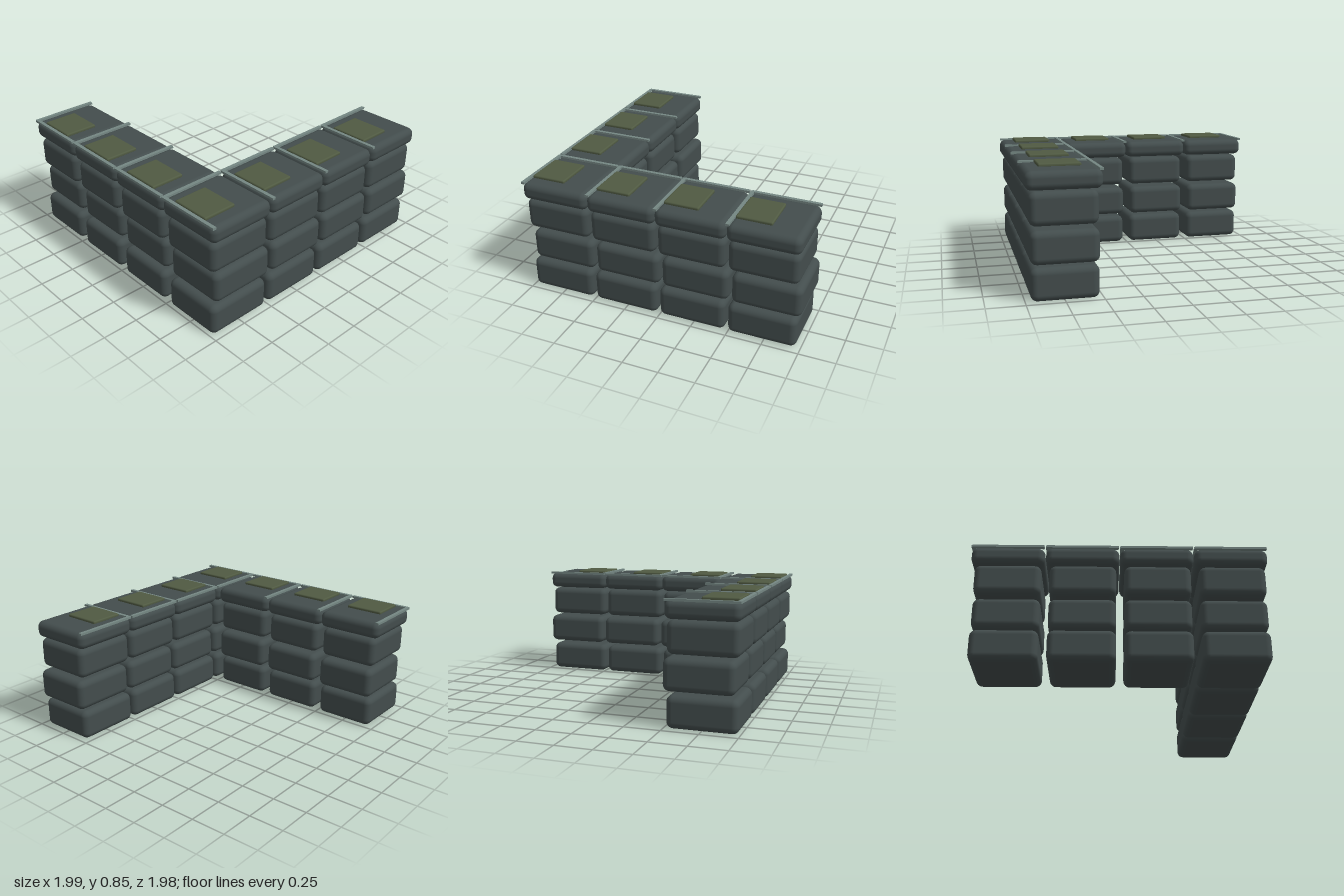
import * as THREE from 'three';
import { RoundedBoxGeometry } from 'three/addons/geometries/RoundedBoxGeometry.js';

const material = (name, color) => {
  const m = new THREE.MeshStandardMaterial({ color });
  m.name = name;
  return m;
};

export function createModel() {
  const stone = material('dark slate stone', 0x434d4d);
  const trim = material('pale worn edge', 0x758783);
  const moss = material('moss green', 0x505a42);

  const blockGeo = new RoundedBoxGeometry(0.475, 0.218, 0.442, 4, 0.045);
  const capGeo = new RoundedBoxGeometry(0.492, 0.122, 0.49, 4, 0.045);
  const backEdgeGeo = new THREE.BoxGeometry(0.48, 0.016, 0.025);
  const sideEdgeGeo = new THREE.BoxGeometry(0.025, 0.016, 0.48);
  const mossGeo = new RoundedBoxGeometry(0.245, 0.026, 0.28, 2, 0.01);

  const add = (parent, name, geo, mat, x, y, z) => {
    const mesh = new THREE.Mesh(geo, mat);
    mesh.name = name;
    mesh.position.set(x, y, z);
    parent.add(mesh);
  };

  // One wall column: three stacked blocks, a cap, worn edges and a moss patch
  const column = (x, z) => {
    const g = new THREE.Group();
    g.name = 'wallColumn';
    g.position.set(x, 0, z);
    for (let row = 0; row < 3; row++) {
      const shift = row === 1 ? 0.025 : 0; // middle course is staggered
      add(g, 'wallBlock', blockGeo, stone, shift, 0.111 + row * 0.24, 0.003);
    }
    add(g, 'capStone', capGeo, stone, 0, 0.769, 0);
    add(g, 'backEdge', backEdgeGeo, trim, 0, 0.832, -0.233);
    add(g, 'sideEdge', sideEdgeGeo, trim, -0.233, 0.832, 0);
    add(g, 'mossPatch', mossGeo, moss, -0.095, 0.836, -0.003);
    return g;
  };

  // L-shaped plan: front run along x, left run going back along z
  const model = new THREE.Group();
  model.name = 'cornerWall';
  const step = 0.495, x0 = -0.753, z0 = 0.742;
  for (let i = 0; i < 4; i++) model.add(column(x0 + i * step, z0));
  for (let i = 1; i < 4; i++) model.add(column(x0, z0 - i * step));
  return model;
}
